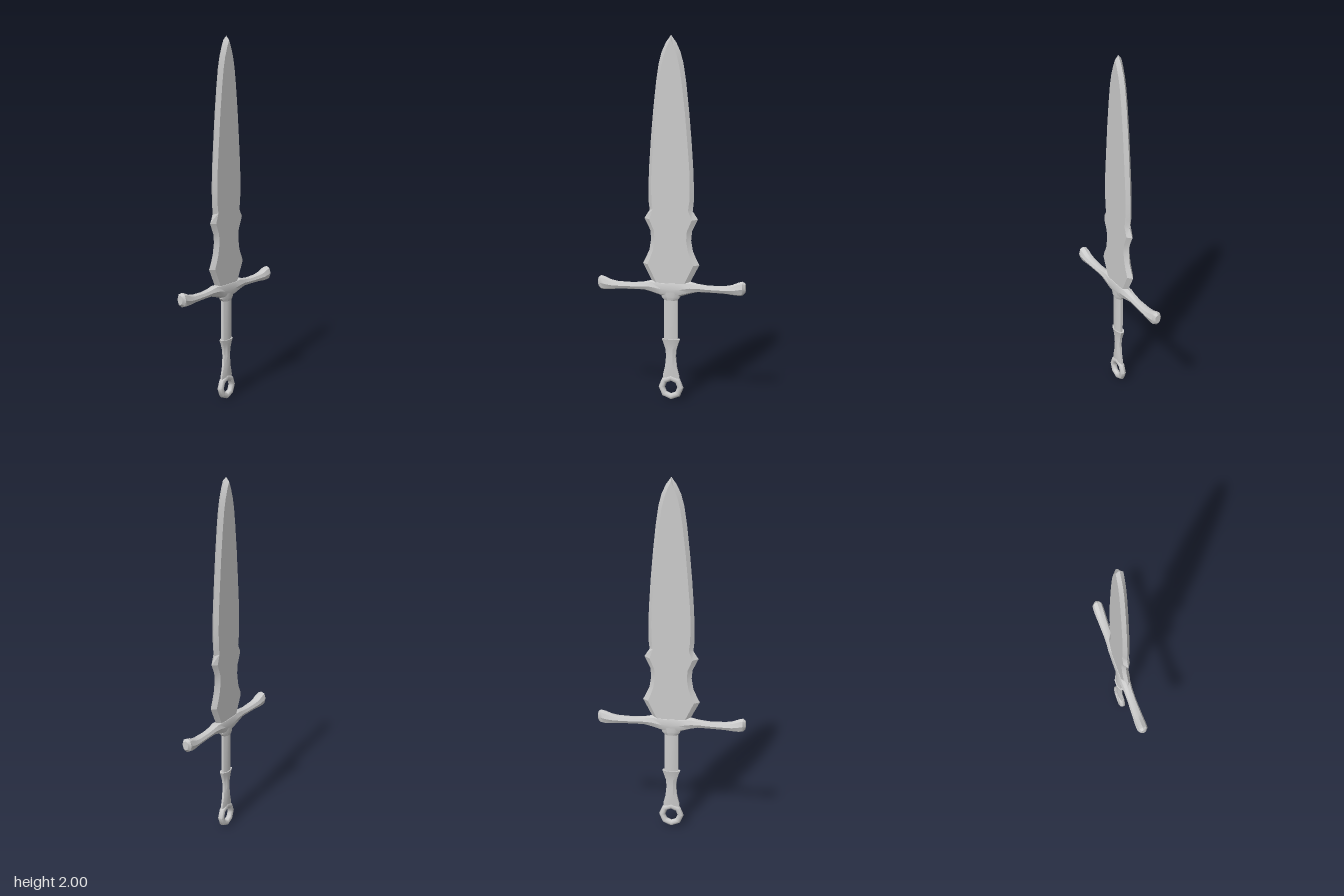
import * as THREE from 'three';
import { toCreasedNormals } from 'three/addons/utils/BufferGeometryUtils.js';

const material = new THREE.MeshStandardMaterial({ color: 0xcccccc });

// Skin a list of rings (each a list of [x, y, z], counterclockwise about the loft direction), ends capped
function loft(name, rings, crease = 0.5) {
  const n = rings[0].length, pos = rings.flat(2), idx = [];
  for (let i = 0; i < rings.length - 1; i++) {
    for (let j = 0; j < n; j++) {
      const a = i * n + j, b = i * n + (j + 1) % n;
      idx.push(a, b, b + n, a, b + n, a + n);
    }
  }
  const last = (rings.length - 1) * n;
  for (let j = 1; j < n - 1; j++) {
    idx.push(0, j + 1, j, last, last + j, last + j + 1);
  }
  const geo = new THREE.BufferGeometry();
  geo.setAttribute('position', new THREE.Float32BufferAttribute(pos, 3));
  geo.setIndex(idx);
  const mesh = new THREE.Mesh(toCreasedNormals(geo, crease), material);
  mesh.name = name;
  return mesh;
}

// Upright eight-sided section with half width w and half depth d
const octagon = (y, w, d) => Array.from({ length: 8 }, (_, k) => {
  const a = (k + 0.5) * Math.PI / 4, s = 1 / Math.cos(Math.PI / 8);
  return [w * s * Math.sin(a), y, d * s * Math.cos(a)];
});

function blade() {
  // edge y, edge half width, flat y, flat half width
  const rows = [
    [0.63, 0.09, 0.63, 0.07], [0.67, 0.108, 0.67, 0.083], [0.765, 0.158, 0.762, 0.128],
    [0.80, 0.14, 0.80, 0.112], [0.84, 0.122, 0.84, 0.098], [0.90, 0.112, 0.90, 0.088],
    [0.95, 0.117, 0.95, 0.092], [1.015, 0.149, 1.01, 0.118], [1.06, 0.12, 1.065, 0.098],
    [1.11, 0.126, 1.11, 0.105], [1.20, 0.126, 1.20, 0.107], [1.30, 0.122, 1.30, 0.104],
    [1.45, 0.112, 1.45, 0.092], [1.60, 0.099, 1.60, 0.079], [1.75, 0.083, 1.74, 0.063],
    [1.85, 0.068, 1.83, 0.05], [1.91, 0.052, 1.89, 0.036], [1.96, 0.029, 1.94, 0.018],
    [2.0, 0, 1.978, 0],
  ];
  const z = 0.019;
  return loft('blade', rows.map(([y, w, fy, f]) => [
    [f, fy, z], [w, y, 0], [f, fy, -z], [-f, fy, -z], [-w, y, 0], [-f, fy, z],
  ]), 0.35);
}

function crossguard() {
  // x, top, bottom, half depth
  const half = [
    [0, 0.67, 0.582, 0.03], [0.05, 0.67, 0.587, 0.03], [0.11, 0.672, 0.606, 0.03],
    [0.15, 0.662, 0.616, 0.026], [0.21, 0.655, 0.616, 0.025], [0.30, 0.657, 0.614, 0.028],
    [0.34, 0.665, 0.609, 0.03], [0.375, 0.68, 0.606, 0.031], [0.398, 0.686, 0.609, 0.029],
    [0.412, 0.675, 0.624, 0.016],
  ];
  const mirrored = half.slice(1).reverse().map(([x, ...r]) => [-x, ...r]);
  return loft('crossguard', [...mirrored, ...half].map(([x, top, bottom, d]) => {
    const m = (top + bottom) / 2, h = (top - bottom) / 2;
    return [[1, 0], [0.75, 0.7], [0, 1], [-0.75, 0.7], [-1, 0], [-0.75, -0.7], [0, -1], [0.75, -0.7]]
      .map(([u, v]) => [x, m + h * u, d * v]);
  }), 0.6);
}

export function createModel() {
  const group = new THREE.Group();
  group.name = 'dagger';
  group.add(blade(), crossguard());

  // Collar under the guard, then the straight and waisted halves of the handle
  group.add(loft('collar', [
    octagon(0.565, 0.036, 0.021), octagon(0.582, 0.05, 0.025), octagon(0.62, 0.055, 0.026),
  ]));
  group.add(loft('upperGrip', [octagon(0.33, 0.038, 0.018), octagon(0.60, 0.038, 0.018)]));
  group.add(loft('lowerGrip', [
    octagon(0.118, 0.046, 0.012), octagon(0.14, 0.046, 0.013), octagon(0.19, 0.033, 0.015),
    octagon(0.25, 0.027, 0.016), octagon(0.29, 0.031, 0.017), octagon(0.325, 0.042, 0.02),
    octagon(0.346, 0.05, 0.024),
  ]));

  // Eight-sided ring pommel
  const ringGeo = new THREE.TorusGeometry(0.053, 0.018, 8, 8);
  ringGeo.rotateZ(Math.PI / 8 * 2);
  const ring = new THREE.Mesh(toCreasedNormals(ringGeo, 0.9), material);
  ring.name = 'ringPommel';
  ring.position.y = 0.072;
  group.add(ring);
  return group;
}
